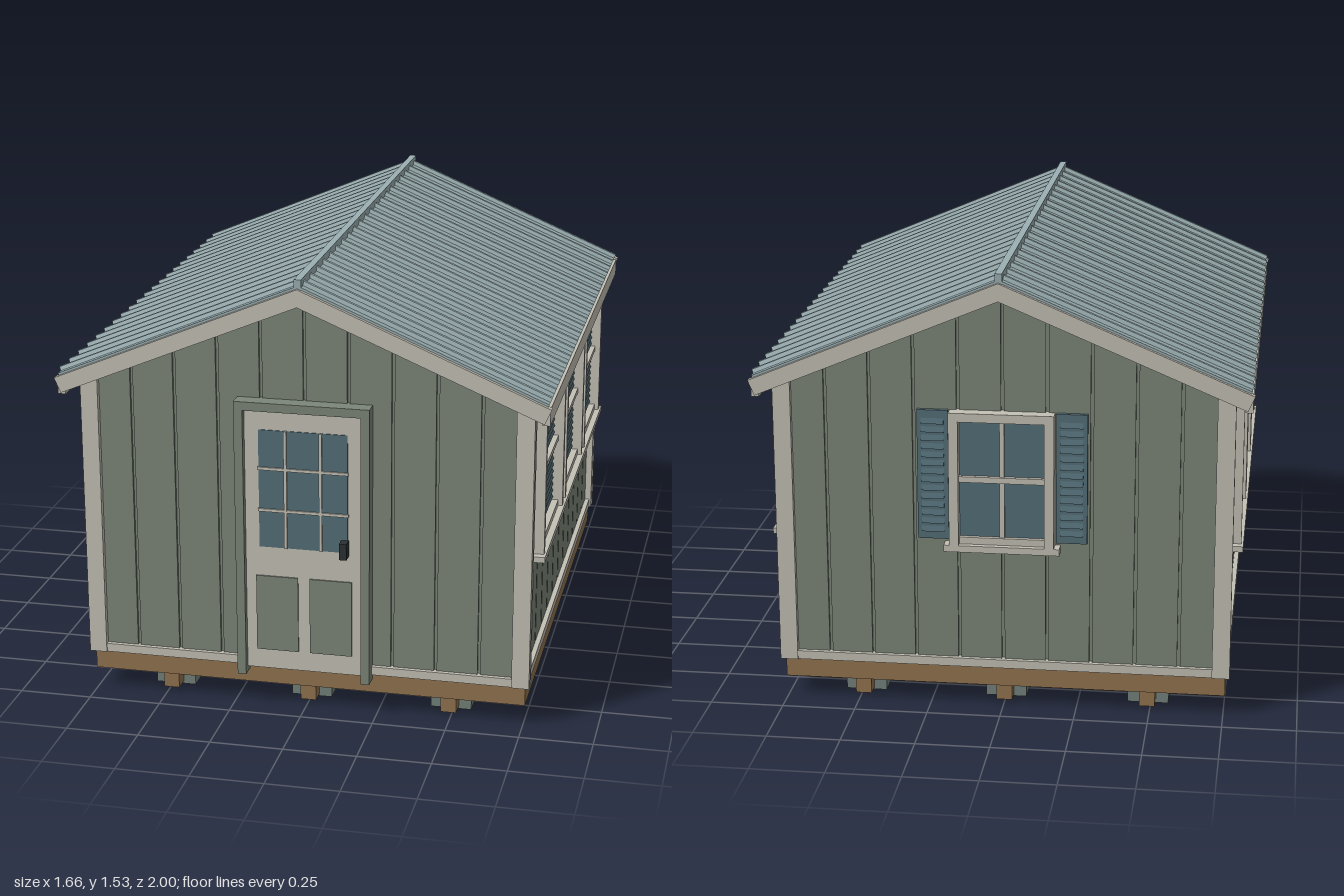
import * as THREE from 'three';

const mat = (name, color) => {
  const m = new THREE.MeshStandardMaterial({ color });
  m.name = name;
  return m;
};

export function createModel() {
  const siding = mat('sage siding', 0x7c8679);
  const trim = mat('cream trim', 0xc4c0b5);
  const wood = mat('timber', 0x92734f);
  const glass = mat('blue glass', 0x536e77);
  const metal = mat('roof metal', 0x9bafb2);
  const concrete = mat('concrete', 0x74817b);
  const black = mat('black hardware', 0x2b3033);

  const model = new THREE.Group();
  model.name = 'shed';

  const group = (name, parent = model) => {
    const g = new THREE.Group();
    g.name = name;
    parent.add(g);
    return g;
  };
  // Box given by its minimum and maximum corners
  const box = (parent, name, m, x0, x1, y0, y1, z0, z1) => {
    const mesh = new THREE.Mesh(new THREE.BoxGeometry(x1 - x0, y1 - y0, z1 - z0), m);
    mesh.position.set((x0 + x1) / 2, (y0 + y1) / 2, (z0 + z1) / 2);
    mesh.name = name;
    parent.add(mesh);
    return mesh;
  };
  // Polygon in the xy plane extruded from z0 to z1
  const prism = (parent, name, m, pts, z0, z1) => {
    const shape = new THREE.Shape(pts.map(([x, y]) => new THREE.Vector2(x, y)));
    const geo = new THREE.ExtrudeGeometry(shape, { depth: z1 - z0, bevelEnabled: false });
    const mesh = new THREE.Mesh(geo, m);
    mesh.position.z = z0;
    mesh.name = name;
    parent.add(mesh);
    return mesh;
  };

  const SLOPE = 0.42;
  const gableY = (x, apex) => apex - SLOPE * Math.abs(x);
  const chevron = (w, top, bottom, lean = 0) => [
    [0, top], [-w, gableY(w, top)], [-w + lean, gableY(w - lean, bottom)], [0, bottom],
    [w - lean, gableY(w - lean, bottom)], [w, gableY(w, top)],
  ];

  // Foundation: floor frame, skids and blocks
  const base = group('foundation');
  box(base, 'floorFrame', wood, -0.755, 0.755, 0.07, 0.14, -0.9, 0.9);
  for (const x of [-0.49, 0, 0.49]) {
    box(base, 'skid', wood, x - 0.027, x + 0.027, 0.01, 0.07, -0.88, 0.88);
    for (const z of [-0.74, 0, 0.74])
      box(base, 'block', concrete, x - 0.07, x + 0.07, 0, 0.042, z - 0.083, z + 0.083);
  }

  // Wall core behind the siding boards
  prism(model, 'wallCore', siding,
    [[-0.735, 0.14], [0.735, 0.14], [0.735, gableY(0.735, 1.47)], [0, 1.47], [-0.735, gableY(0.735, 1.47)]],
    -0.89, 0.89);

  // Gable walls, front and back alike
  const gableWall = (name) => {
    const wall = group(name);
    const n = 10, w = 1.49 / n, gap = 0.005;
    for (let i = 0; i < n; i++) {
      const a = -0.745 + i * w + gap, b = -0.745 + (i + 1) * w - gap;
      prism(wall, 'sidingBoard', siding,
        [[a, 0.14], [b, 0.14], [b, gableY(b, 1.47)], [a, gableY(a, 1.47)]], 0.889, 0.9);
    }
    for (const s of [-1, 1]) {
      const x0 = s < 0 ? -0.77 : 0.71;
      box(wall, 'cornerTrim', trim, x0, x0 + 0.06, 0.14, 1.15, 0.89, 0.92);
    }
    box(wall, 'bottomTrim', trim, -0.71, 0.71, 0.14, 0.17, 0.89, 0.915);
    prism(wall, 'rakeBoard', trim, chevron(0.832, 1.505, 1.445, 0.022), 0.975, 1.0);
    return wall;
  };
  const front = gableWall('frontWall');
  const back = gableWall('backWall');
  back.rotation.y = Math.PI;

  // Door
  const door = group('door', front);
  for (const s of [-1, 1])
    box(door, 'doorJamb', siding, s * 0.215 - 0.015, s * 0.215 + 0.015, 0.12, 1.1, 0.89, 0.955);
  box(door, 'doorHead', siding, -0.2, 0.2, 1.07, 1.1, 0.89, 0.955);
  box(door, 'doorLeaf', trim, -0.2, 0.2, 0.14, 1.07, 0.89, 0.93);
  box(door, 'doorGlass', glass, -0.152, 0.152, 0.585, 1.0, 0.928, 0.933);
  for (const x of [-0.06, 0.06])
    box(door, 'muntin', trim, x - 0.005, x + 0.005, 0.585, 1.0, 0.93, 0.939);
  for (const y of [0.718, 0.865])
    box(door, 'muntin', trim, -0.155, 0.155, y - 0.005, y + 0.005, 0.93, 0.938);
  for (const x of [-0.0925, 0.0925])
    box(door, 'doorPanel', siding, x - 0.0725, x + 0.0725, 0.21, 0.48, 0.928, 0.935);
  box(door, 'doorHandle', black, 0.13, 0.155, 0.573, 0.63, 0.93, 0.97);

  // Rear window with louvred shutters
  const win = group('rearWindow', back);
  box(win, 'pane', glass, -0.15, 0.15, 0.6, 1.03, 0.895, 0.91);
  for (const s of [-1, 1]) {
    box(win, 'casing', trim, s * 0.16 - 0.016, s * 0.16 + 0.016, 0.585, 1.05, 0.89, 0.945);
    const sh = s * 0.233;
    box(win, 'shutter', glass, sh - 0.052, sh + 0.052, 0.6, 1.05, 0.895, 0.915);
    for (let i = 0; i < 14; i++) {
      const slat = box(win, 'shutterSlat', glass, sh - 0.038, sh + 0.038,
        0.625 + i * 0.029, 0.645 + i * 0.029, 0.914, 0.918);
      slat.rotation.x = -0.3;
    }
  }
  box(win, 'casingTop', trim, -0.144, 0.144, 1.02, 1.05, 0.89, 0.945);
  box(win, 'sill', trim, -0.195, 0.195, 0.565, 0.588, 0.89, 0.945);
  box(win, 'sashBottom', trim, -0.144, 0.144, 0.588, 0.612, 0.89, 0.925);
  box(win, 'mullion', trim, -0.008, 0.008, 0.6, 1.03, 0.9, 0.92);
  box(win, 'meetingRail', trim, -0.145, 0.145, 0.805, 0.825, 0.9, 0.925);

  // Side walls with three slatted windows each
  for (const side of [1, -1]) {
    const wall = group(side > 0 ? 'leftWall' : 'rightWall');
    const n = 12, w = 1.78 / n;
    for (let i = 0; i < n; i++)
      box(wall, 'sidingBoard', siding, 0.734, 0.745, 0.14, 1.15,
        -0.89 + i * w + 0.005, -0.89 + (i + 1) * w - 0.005);
    for (const s of [-1, 1])
      box(wall, 'cornerTrim', trim, 0.73, 0.769, 0.14, 1.14, s * 0.8915 - 0.0275, s * 0.8915 + 0.0275);
    box(wall, 'bottomTrim', trim, 0.735, 0.762, 0.14, 0.172, -0.865, 0.865);
    box(wall, 'topTrim', trim, 0.735, 0.795, 1.075, 1.11, -0.81, 0.81);
    box(wall, 'sill', trim, 0.735, 0.802, 0.565, 0.585, -0.835, 0.835);
    for (const z of [-0.557, 0, 0.557]) {
      const g = group('sideWindow', wall);
      box(g, 'pane', glass, 0.74, 0.752, 0.6, 1.08, z - 0.226, z + 0.226);
      for (const s of [-1, 1])
        box(g, 'casing', trim, 0.735, 0.795, 0.585, 1.08, z + s * 0.2375 - 0.0125, z + s * 0.2375 + 0.0125);
      box(g, 'sashBottom', trim, 0.74, 0.78, 0.585, 0.606, z - 0.225, z + 0.225);
      box(g, 'meetingRail', trim, 0.74, 0.775, 0.828, 0.846, z - 0.225, z + 0.225);
      for (const y0 of [0.616, 0.856])
        for (let i = 0; i < 9; i++) {
          const slat = box(g, 'slat', glass, 0.753, 0.757,
            y0 + i * 0.024, y0 + i * 0.024 + 0.02, z - 0.222, z + 0.222);
          slat.rotation.z = 0.45;
        }
    }
    box(wall, 'eaveFascia', trim, 0.8, 0.826, 1.095, 1.152, -0.98, 0.98);
    if (side < 0) wall.rotation.y = Math.PI;
  }

  // Roof: deck, ribbed metal sheets and ridge cap
  const roof = group('roof');
  prism(roof, 'roofDeck', trim, chevron(0.81, 1.5, 1.46), -0.978, 0.978);
  const ang = Math.atan(SLOPE), len = 0.82 / Math.cos(ang);
  const profile = [[-0.985, -0.006], [0.985, -0.006], [0.985, 0.006]];
  for (let i = 10; i >= -10; i--) {
    const z = i * 0.0945;
    profile.push([z + 0.013, 0.006], [z + 0.007, 0.019], [z - 0.007, 0.019], [z - 0.013, 0.006]);
  }
  profile.push([-0.985, 0.006]);
  for (const side of [1, -1]) {
    const slope = group('roofSlope', roof);
    const sheet = prism(slope, 'ribbedSheet', metal, profile, 0, len);
    // Sheet profile runs along z, its length runs down the slope
    const n = new THREE.Vector3(Math.sin(ang), Math.cos(ang), 0);
    const d = new THREE.Vector3(Math.cos(ang), -Math.sin(ang), 0);
    const basis = new THREE.Matrix4().makeBasis(new THREE.Vector3(0, 0, -1), n, d);
    sheet.quaternion.setFromRotationMatrix(basis);
    sheet.position.set(0, 1.507, 0);
    if (side < 0) slope.rotation.y = Math.PI;
  }
  prism(roof, 'ridgeCap', metal,
    [[-0.012, 1.49], [0, 1.47], [0.012, 1.49], [0.012, 1.535], [-0.012, 1.535]], -0.988, 0.988);

  return model;
}
